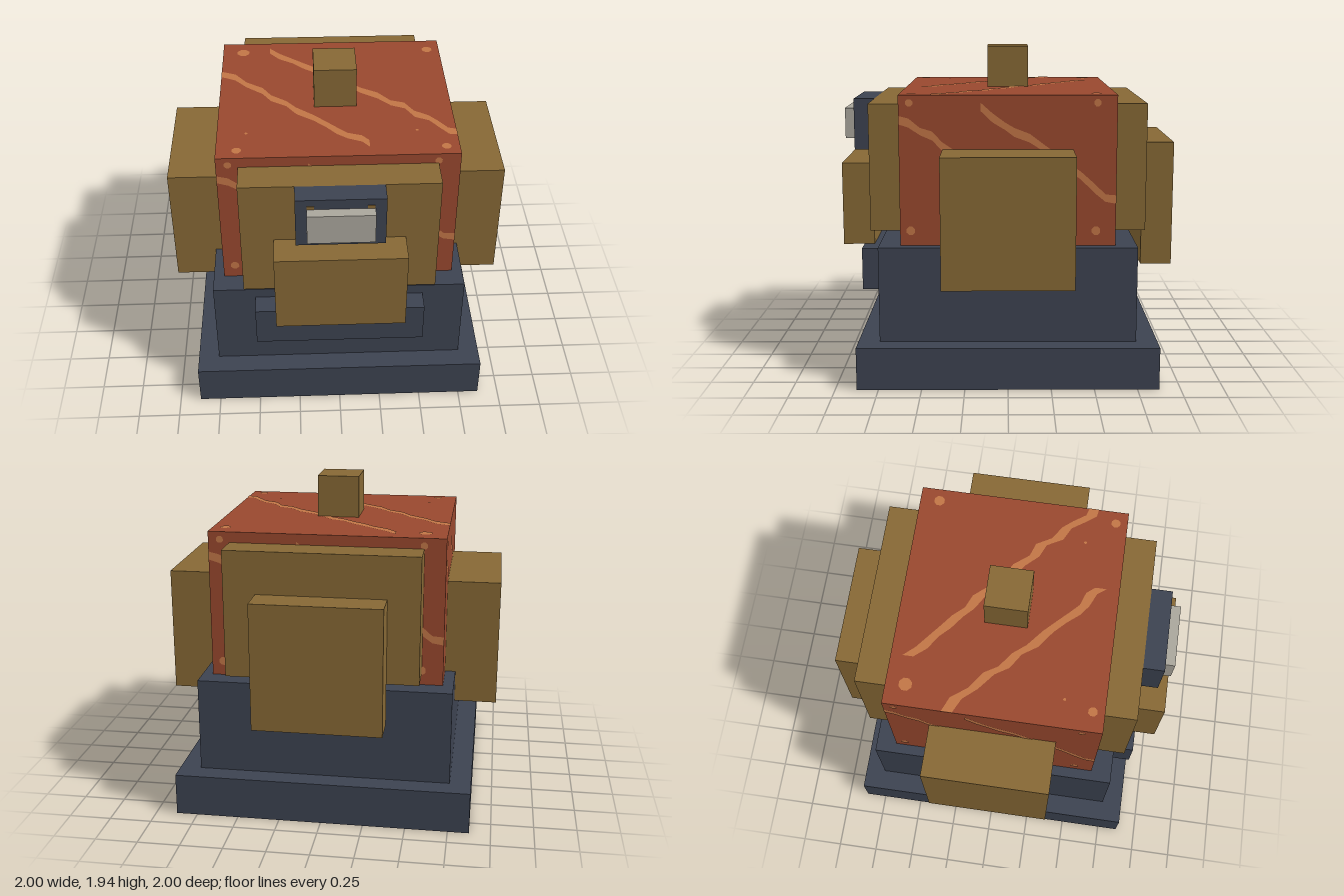
import * as THREE from 'three';

const mat = (name, color) => {
  const m = new THREE.MeshStandardMaterial({ color });
  m.name = name;
  return m;
};

export function createModel() {
  const navy = mat('navy', 0x3c4250);
  const bronze = mat('bronze', 0x866835);
  const rust = mat('rust red', 0x98482e);
  const orange = mat('orange', 0xc17546);
  const grey = mat('pale grey', 0xaaa69c);
  const model = new THREE.Group();
  model.name = 'model';

  // Box given by its minimum and maximum on each axis
  function box(name, material, [x0, x1], [y0, y1], [z0, z1]) {
    const mesh = new THREE.Mesh(new THREE.BoxGeometry(x1 - x0, y1 - y0, z1 - z0), material);
    mesh.position.set((x0 + x1) / 2, (y0 + y1) / 2, (z0 + z1) / 2);
    mesh.name = name;
    model.add(mesh);
  }
  const sym = (h) => [-h, h];

  // Stepped base
  box('base', navy, sym(0.875), [0, 0.25], sym(0.875));
  box('lowerBody', navy, sym(0.75), [0.25, 0.8125], sym(0.75));
  box('frontLedge', navy, sym(0.5), [0.5, 0.75], [0.75, 0.875]);

  // Core block and top knob
  box('core', rust, sym(0.6875), [0.8125, 1.6875], sym(0.625));
  box('topKnob', bronze, sym(0.125), [1.6875, 1.9375], sym(0.125));

  // Side blocks
  box('leftBlock', bronze, [0.6875, 1], [0.625, 1.375], sym(0.375));
  box('rightBlock', bronze, [-1, -0.6875], [0.625, 1.375], sym(0.375));

  // Front and back armour plates
  box('frontPlate', bronze, sym(0.5625), [0.875, 1.625], [0.625, 0.8125]);
  box('frontLowerPlate', bronze, sym(0.375), [0.75, 1.25], [0.8125, 1]);
  box('backPlate', bronze, sym(0.5625), [0.875, 1.625], [-0.8125, -0.625]);
  box('backOuterPlate', bronze, sym(0.375), [0.625, 1.375], [-1, -0.8125]);

  // Framed front panel with corner studs
  box('panelFrame', navy, sym(0.25), [1.3125, 1.625], [0.8125, 0.9375]);
  box('panel', grey, sym(0.1875), [1.375, 1.5625], [0.9375, 1]);
  for (const x of [-0.165, 0.165]) for (const y of [1.375, 1.5625]) {
    box('panelStud', bronze, [x - 0.02, x + 0.02], [y - 0.022, y + 0.022], [0.9375, 0.941]);
  }

  // Painted streak following a centre line, with a wobbling width
  function streak(points, half) {
    const edge = (s) => points.map(([x, y], i) =>
      new THREE.Vector2(x, y + s * half * (1 + 0.22 * Math.sin(i * 2.3 + s))));
    return new THREE.ShapeGeometry(new THREE.Shape([...edge(-1), ...edge(1).reverse()]));
  }
  function paint(face, name, geometry, x = 0, y = 0) {
    const mesh = new THREE.Mesh(geometry, orange);
    mesh.position.set(x, y, 0);
    mesh.name = name;
    face.add(mesh);
  }
  const spot = (r) => new THREE.CircleGeometry(r, 8, Math.PI / 8);

  // The same markings on all four sides: u runs 0..1 across the face, y is height
  const upper = [[0.376, 1.615], [0.43, 1.56], [0.487, 1.51], [0.53, 1.47], [0.6, 1.445], [0.655, 1.39],
    [0.71, 1.335], [0.77, 1.285], [0.836, 1.22], [0.9, 1.15], [0.95, 1.095], [1, 1.08]];
  const lower = [[0, 1.54], [0.047, 1.53], [0.098, 1.48], [0.154, 1.45], [0.197, 1.4],
    [0.24, 1.36], [0.4, 1.23], [0.62, 1.08]];
  for (let k = 0; k < 4; k++) {
    const width = k % 2 ? 1.25 : 1.375;
    const depth = (k % 2 ? 0.6875 : 0.625) + 0.003;
    const face = new THREE.Group();
    face.name = 'sideMarkings';
    face.rotation.y = k * Math.PI / 2;
    face.position.set(Math.sin(k * Math.PI / 2) * depth, 0, Math.cos(k * Math.PI / 2) * depth);
    const map = (pts) => pts.map(([u, y]) => [(u - 0.5) * width, y]);
    paint(face, 'streak', streak(map(upper), 0.024));
    paint(face, 'streak', streak(map(lower), 0.024));
    for (const u of [0.05, 0.908]) for (const y of [0.9, 1.643]) {
      paint(face, 'spot', spot(y < 1 ? 0.027 : 0.022), (u - 0.5) * width, y);
    }
    model.add(face);
  }

  // Top markings, as [x, z]
  const topStreaks = [
    [[-0.6875, -0.25], [-0.6, -0.22], [-0.53, -0.13], [-0.43, -0.05], [-0.38, 0.02], [-0.29, 0.09], [-0.23, 0.17],
      [-0.13, 0.24], [-0.06, 0.32], [0, 0.38], [0.06, 0.43], [0.14, 0.47], [0.18, 0.51]],
    [[-0.39, -0.52], [-0.33, -0.46], [-0.25, -0.4], [-0.19, -0.34], [-0.11, -0.29], [-0.05, -0.22], [0.03, -0.18],
      [0.11, -0.1], [0.155, -0.04], [0.26, 0.02], [0.33, 0.1], [0.41, 0.14], [0.46, 0.22], [0.54, 0.27],
      [0.59, 0.34], [0.64, 0.4], [0.6875, 0.42]],
  ];
  const top = new THREE.Group();
  top.name = 'topMarkings';
  top.rotation.x = -Math.PI / 2;
  top.position.y = 1.6905;
  for (const pts of topStreaks) paint(top, 'streak', streak(pts.map(([x, z]) => [x, -z]), 0.031));
  for (const [x, z, r] of [[-0.56, -0.51, 0.04], [0.61, -0.51, 0.033], [-0.57, 0.555, 0.028], [0.61, 0.555, 0.028],
    [-0.52, 0.39, 0.009], [0.46, 0.39, 0.009]]) paint(top, 'spot', spot(r), x, -z);
  model.add(top);

  return model;
}
